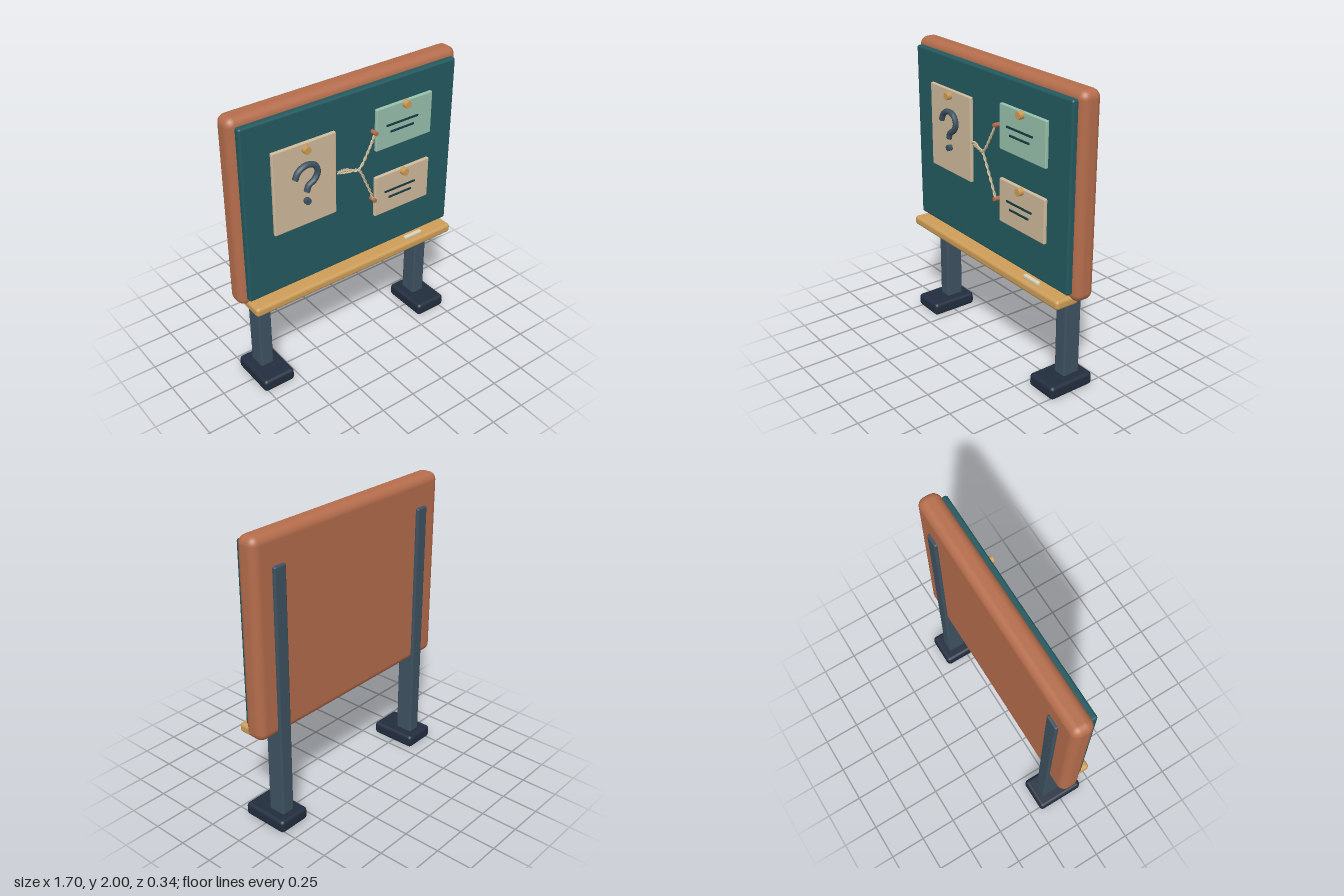
import * as THREE from 'three';
import { RoundedBoxGeometry } from 'three/addons/geometries/RoundedBoxGeometry.js';

const V = (x, y, z) => new THREE.Vector3(x, y, z);

function mat(name, color) {
  const m = new THREE.MeshStandardMaterial({ color });
  m.name = name;
  return m;
}

export function createModel() {
  const root = new THREE.Group();
  root.name = 'noticeBoard';

  const terracotta = mat('terracotta', 0xb56d4c);
  const teal = mat('boardTeal', 0x23595f);
  const wood = mat('lightWood', 0xcd9d58);
  const slate = mat('slate', 0x3e5261);
  const navy = mat('navy', 0x222d3e);
  const cream = mat('creamPaper', 0xcfba9b);
  const mint = mat('mintPaper', 0x97c0ac);
  const ink = mat('ink', 0x163a42);
  const chalkWhite = mat('chalkWhite', 0xdccfb4);

  const add = (name, geometry, material, parent = root) => {
    const mesh = new THREE.Mesh(geometry, material);
    mesh.name = name;
    parent.add(mesh);
    return mesh;
  };

  // Rounded box given by its minimum and maximum corners
  const box = (name, [x0, y0, z0], [x1, y1, z1], radius, material, parent, segments = 3) => {
    const g = new RoundedBoxGeometry(x1 - x0, y1 - y0, z1 - z0, segments, radius);
    const mesh = add(name, g, material, parent);
    mesh.position.set((x0 + x1) / 2, (y0 + y1) / 2, (z0 + z1) / 2);
    return mesh;
  };

  // Short cylinder facing the front
  const disc = (name, x, y, z0, z1, radius, material, sides = 16, parent = root) => {
    const g = new THREE.CylinderGeometry(radius, radius, z1 - z0, sides).rotateX(Math.PI / 2);
    add(name, g, material, parent).position.set(x, y, (z0 + z1) / 2);
  };

  // Frame, writing surface and tray
  box('frame', [-0.85, 0.68, -0.09], [0.85, 2, 0.057], 0.055, terracotta, root, 4);
  box('boardSurface', [-0.803, 0.735, 0.02], [0.803, 1.95, 0.095], 0.015, teal);
  box('tray', [-0.8, 0.65, -0.01], [0.797, 0.715, 0.165], 0.022, wood);
  box('chalk', [0.42, 0.711, 0.1], [0.565, 0.737, 0.13], 0.008, chalkWhite);

  // Posts and feet
  for (const [side, s] of [['left', 1], ['right', -1]]) {
    const x = s * 0.66;
    box(side + 'Post', [x - 0.048, 0.07, -0.11], [x + 0.048, 1.8, 0.015], 0.012, slate);
    box(side + 'Foot', [x - 0.117, 0, -0.168], [x + 0.117, 0.09, 0.168], 0.025, navy);
  }

  // Large sheet with the question mark
  const sheet = new THREE.Group();
  sheet.name = 'questionSheet';
  root.add(sheet);
  box('sheetPaper', [-0.61, 1.165, 0.09], [-0.152, 1.74, 0.116], 0.008, cream, sheet, 2);
  const hook = new THREE.CatmullRomCurve3([
    [-0.465, 1.52], [-0.44, 1.568], [-0.385, 1.594], [-0.325, 1.58], [-0.3, 1.528],
    [-0.325, 1.478], [-0.368, 1.45], [-0.383, 1.412],
  ].map(([x, y]) => V(x, y, 0.128)));
  add('questionHook', new THREE.TubeGeometry(hook, 32, 0.02, 8), slate, sheet);
  for (const t of [0, 1]) {
    const p = hook.getPoint(t);
    const along = hook.getTangent(t).multiplyScalar(t ? 1 : -1);
    const cap = add('hookEnd', new THREE.CircleGeometry(0.02, 8), slate, sheet);
    cap.position.copy(p);
    cap.quaternion.setFromUnitVectors(V(0, 0, 1), along);
  }
  disc('questionDot', -0.38, 1.345, 0.11, 0.145, 0.022, slate, 8, sheet);
  disc('sheetPin', -0.38, 1.7, 0.11, 0.15, 0.025, wood, 16, sheet);

  // Two small cards, each with a pin and two written lines
  for (const [name, y0, y1, paper] of [
    ['upperCard', 1.49, 1.785, mint],
    ['lowerCard', 1.005, 1.3, cream],
  ]) {
    const card = new THREE.Group();
    card.name = name;
    root.add(card);
    box('cardPaper', [0.155, y0, 0.09], [0.603, y1, 0.116], 0.008, paper, card, 2);
    disc('cardPin', 0.38, y1 - 0.02, 0.11, 0.15, 0.025, wood, 16, card);
    for (const [x0, x1, drop] of [[0.233, 0.484, 0.131], [0.265, 0.452, 0.18]]) {
      const line = add('writtenLine', new THREE.BoxGeometry(x1 - x0, 0.012, 0.008), ink, card);
      line.position.set((x0 + x1) / 2, y1 - drop, 0.119);
    }
  }

  // Forked string: two twisted strands along each branch, ending in a small pin
  for (const [name, points] of [
    ['upperString', [[-0.145, 1.447, 0.112], [-0.09, 1.457, 0.122], [0, 1.428, 0.133],
      [0.08, 1.535, 0.132], [0.135, 1.64, 0.128]]],
    ['lowerString', [[-0.145, 1.447, 0.112], [-0.07, 1.433, 0.122], [0, 1.428, 0.133],
      [0.07, 1.3, 0.132], [0.135, 1.152, 0.128]]],
  ]) {
    const path = new THREE.CatmullRomCurve3(points.map(p => V(...p)));
    for (const phase of [0, Math.PI]) {
      const strand = [];
      for (let i = 0; i <= 60; i++) {
        const t = i / 60;
        const across = path.getTangent(t).cross(V(0, 0, 1)).normalize();
        const a = t * Math.PI * 14 + phase;
        strand.push(path.getPoint(t)
          .addScaledVector(across, 0.005 * Math.cos(a))
          .add(V(0, 0, 0.005 * Math.sin(a))));
      }
      add(name, new THREE.TubeGeometry(new THREE.CatmullRomCurve3(strand), 120, 0.005, 6), cream);
    }
    const [x, y] = points[4];
    disc(name + 'Pin', x, y, 0.09, 0.145, 0.014, terracotta, 10);
  }

  return root;
}
